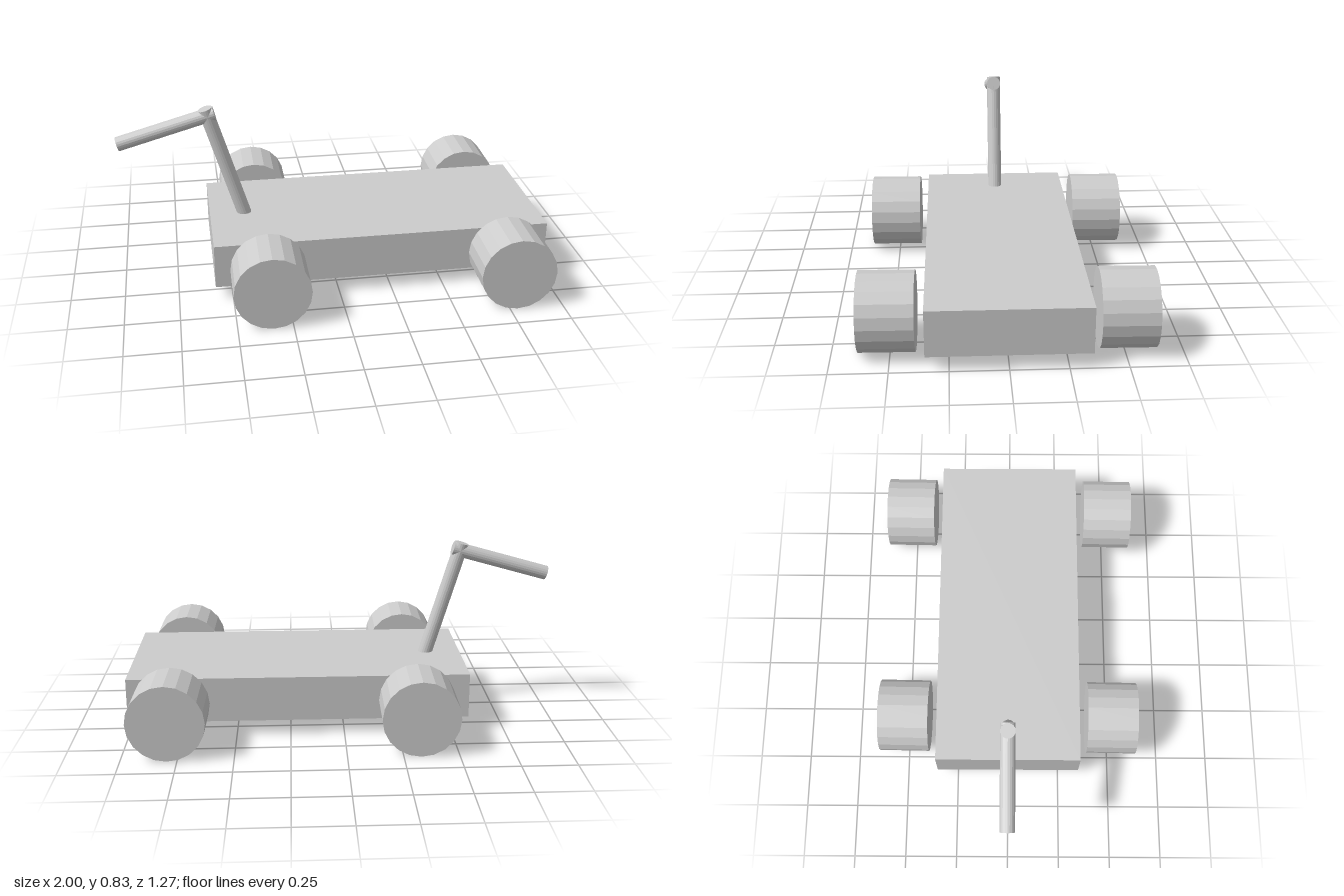
import * as THREE from 'three';

const material = new THREE.MeshStandardMaterial({ color: 0xcccccc, flatShading: true });

// Straight round bar between two points
function bar(name, from, to, radius) {
  const axis = to.clone().sub(from);
  const mesh = new THREE.Mesh(new THREE.CylinderGeometry(radius, radius, axis.length(), 20), material);
  mesh.name = name;
  mesh.position.copy(from).add(to).multiplyScalar(0.5);
  mesh.quaternion.setFromUnitVectors(new THREE.Vector3(0, 1, 0), axis.normalize());
  return mesh;
}

export function createModel() {
  const cart = new THREE.Group();
  cart.name = 'pullCart';

  // Flat box bed
  const bed = new THREE.Mesh(new THREE.BoxGeometry(1.58, 0.21, 0.7), material);
  bed.name = 'bed';
  bed.position.set(0.21, 0.177, 0);
  cart.add(bed);

  // Four wide wheels, standing slightly off the bed and a touch skewed
  const wheelGeometry = new THREE.CylinderGeometry(0.175, 0.175, 0.243, 20).rotateX(Math.PI / 2);
  for (const x of [-0.334, 0.79]) {
    for (const side of [1, -1]) {
      const wheel = new THREE.Mesh(wheelGeometry, material);
      wheel.name = (x < 0 ? 'handleEnd' : 'farEnd') + (side > 0 ? 'FrontWheel' : 'BackWheel');
      wheel.position.set(x - side * 0.004, 0.177, side * 0.51);
      wheel.rotation.y = -0.015;
      cart.add(wheel);
    }
  }

  // Leaning post and the pull handle crossing its top
  cart.add(bar('handlePost', new THREE.Vector3(-0.39, 0.2, 0), new THREE.Vector3(-0.579, 0.823, 0), 0.034));
  cart.add(bar('pullHandle', new THREE.Vector3(-0.991, 0.671, 0), new THREE.Vector3(-0.536, 0.799, 0), 0.034));

  return cart;
}
